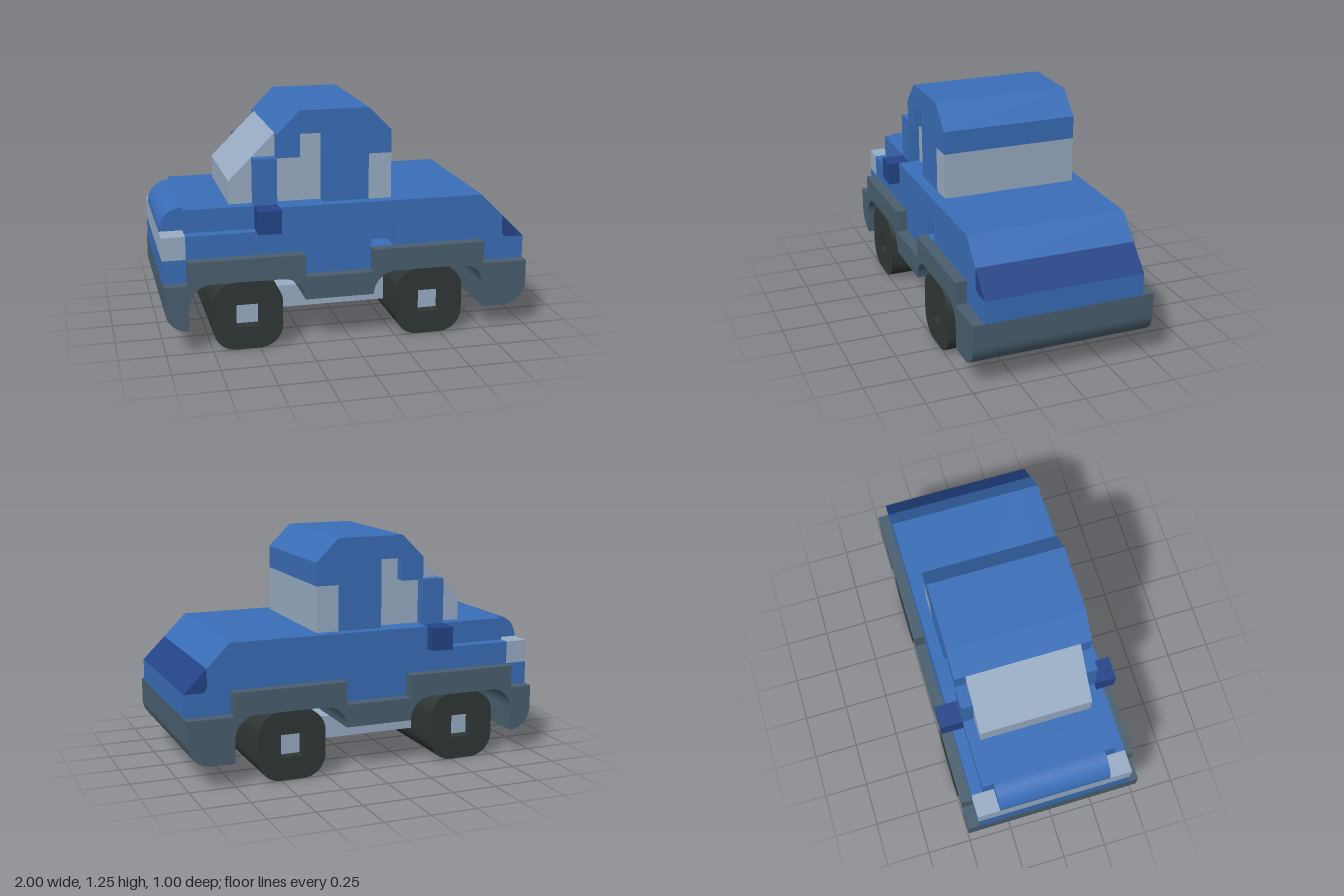
import * as THREE from 'three';
import { toCreasedNormals } from 'three/addons/utils/BufferGeometryUtils.js';

const paint = (color) => new THREE.MeshStandardMaterial({ color });

export function createModel() {
  const car = new THREE.Group();
  car.name = 'car';

  const bodyBlue = paint(0x3a6eb8); bodyBlue.name = 'body blue';
  const navy = paint(0x244488); navy.name = 'navy trim';
  const glassGrey = paint(0x99adc4); glassGrey.name = 'glass grey';
  const slate = paint(0x4a5f6f); slate.name = 'slate trim';
  const tyreBlack = paint(0x2f3836); tyreBlack.name = 'tyre black';

  const add = (name, geometry, material) => {
    const mesh = new THREE.Mesh(geometry, material);
    mesh.name = name;
    car.add(mesh);
    return mesh;
  };

  // Box given by its lowest and highest corner
  const box = (name, material, x0, x1, y0, y1, z0, z1) => {
    const mesh = add(name, new THREE.BoxGeometry(x1 - x0, y1 - y0, z1 - z0), material);
    mesh.position.set((x0 + x1) / 2, (y0 + y1) / 2, (z0 + z1) / 2);
    return mesh;
  };

  // Side profile swept across the car from z0 to z1
  const sweep = (name, material, shape, z0, z1) => {
    const geometry = new THREE.ExtrudeGeometry(shape, { depth: z1 - z0, bevelEnabled: false, curveSegments: 8 });
    geometry.translate(0, 0, z0);
    return add(name, toCreasedNormals(geometry, 0.5), material);
  };

  const polygon = (points) => new THREE.Shape(points.map(([x, y]) => new THREE.Vector2(x, y)));
  const square = (x, y, s) => new THREE.Path([[x, y], [x + s, y], [x + s, y + s], [x, y + s]]
    .map(([px, py]) => new THREE.Vector2(px, py)));

  // Full-width wheel rollers with square recessed hubs
  for (const [side, cx] of [['front', -0.5625], ['rear', 0.4375]]) {
    const h = 0.1875, r = 0.125, cy = 0.1875;
    const tyre = new THREE.Shape();
    tyre.absarc(cx + h - r, cy + h - r, r, 0, Math.PI / 2);
    tyre.absarc(cx - h + r, cy + h - r, r, Math.PI / 2, Math.PI);
    tyre.absarc(cx - h + r, cy - h + r, r, Math.PI, Math.PI * 1.5);
    tyre.absarc(cx + h - r, cy - h + r, r, Math.PI * 1.5, Math.PI * 2);
    tyre.holes.push(square(cx - 0.0625, 0.125, 0.125));
    sweep(side + 'Wheels', tyreBlack, tyre, -0.5, 0.5);
    box(side + 'Axle', glassGrey, cx - 0.0625, cx + 0.0625, 0.125, 0.25, -0.4375, 0.4375);
  }

  // Floor plate between the axles
  box('floorPlate', glassGrey, -0.4, 0.27, 0.125, 0.25, -0.25, 0.25);

  // Lower trim: bumpers, wheel arches and sills in one profile
  const lower = new THREE.Shape();
  lower.moveTo(-1, 0.375);
  lower.lineTo(-1, 0.25);
  lower.absarc(-0.875, 0.25, 0.125, Math.PI, Math.PI * 1.5);
  for (const x of [-0.875, 0.125]) {
    lower.lineTo(x, 0.125 + (x > 0 ? 0.125 : 0));
    lower.lineTo(x, 0.25);
    lower.absarc(x + 0.125, 0.25, 0.124, Math.PI, Math.PI / 2, true);
    lower.absarc(x + 0.5, 0.25, 0.124, Math.PI / 2, 0, true);
  }
  lower.lineTo(0.75, 0.125);
  lower.absarc(0.875, 0.25, 0.125, Math.PI * 1.5, Math.PI * 2);
  lower.lineTo(1, 0.375);
  sweep('lowerTrim', slate, lower, -0.5, 0.5);

  // Body shell; the left skin has a square filler pocket
  const bodyProfile = () => {
    const s = polygon([[-1, 0.375], [1, 0.375], [1, 0.5], [0.91, 0.5]]);
    s.quadraticCurveTo(0.875, 0.5, 0.875, 0.54);
    for (const [x, y] of [[0.875, 0.625], [0.75, 0.75], [-0.375, 0.75], [-0.375, 0.625],
      [-0.875, 0.625], [-0.875, 0.5], [-1, 0.5]]) s.lineTo(x, y);
    return s;
  };
  sweep('bodyShell', bodyBlue, bodyProfile(), -0.4375, 0.3125);
  const skin = bodyProfile();
  skin.holes.push(square(0.125, 0.5, 0.125));
  sweep('bodyLeftSkin', bodyBlue, skin, 0.3125, 0.4375);

  // Tail light bar
  const tail = polygon([[0.875, 0.54], [0.875, 0.625], [1, 0.5], [0.91, 0.5]]);
  tail.quadraticCurveTo(0.875, 0.5, 0.875, 0.54);
  sweep('tailLight', navy, tail, -0.4375, 0.4375);

  // Hood, rounded nose and headlight bar
  box('hood', bodyBlue, -0.875, -0.375, 0.625, 0.75, -0.375, 0.375);
  const nose = polygon([[-0.875, 0.625], [-0.875, 0.75]]);
  nose.absarc(-0.875, 0.625, 0.125, Math.PI / 2, Math.PI);
  sweep('nose', bodyBlue, nose, -0.3125, 0.3125);
  box('headlightBar', glassGrey, -1, -0.875, 0.5, 0.625, -0.4375, 0.4375);

  // Cabin: roof with door pillars, inner glass, rear window
  sweep('roof', bodyBlue, polygon([
    [0.25, 1], [0.25, 1.125], [0.125, 1.25], [-0.25, 1.25], [-0.375, 1.125], [-0.375, 1],
    [-0.25, 1], [-0.25, 1.125], [-0.125, 1.125], [-0.125, 0.75], [0.125, 0.75], [0.125, 1],
  ]), -0.375, 0.375);
  sweep('glass', glassGrey, polygon([
    [-0.625, 0.75], [-0.125, 0.75], [-0.125, 1.125], [-0.25, 1.125], [-0.25, 1], [-0.375, 1],
    [-0.375, 1.125], [-0.625, 0.875],
  ]), -0.3125, 0.3125);
  box('rearWindow', glassGrey, 0.125, 0.25, 0.75, 1, -0.375, 0.375);

  // Mirrored side parts
  for (const [side, s] of [['left', 1], ['right', -1]]) {
    const pair = (name, material, x0, x1, y0, y1, a, b) =>
      box(side + name, material, x0, x1, y0, y1, Math.min(s * a, s * b), Math.max(s * a, s * b));
    pair('FrontFender', slate, -0.875, -0.25, 0.375, 0.5, 0.4375, 0.5);
    pair('RearFender', slate, 0.125, 0.75, 0.375, 0.5, 0.4375, 0.5);
    pair('WindshieldPillar', bodyBlue, -0.5, -0.375, 0.75, 1, 0.3125, 0.375);
    pair('Mirror', navy, -0.5, -0.375, 0.625, 0.75, 0.375, 0.5);
  }

  return car;
}
